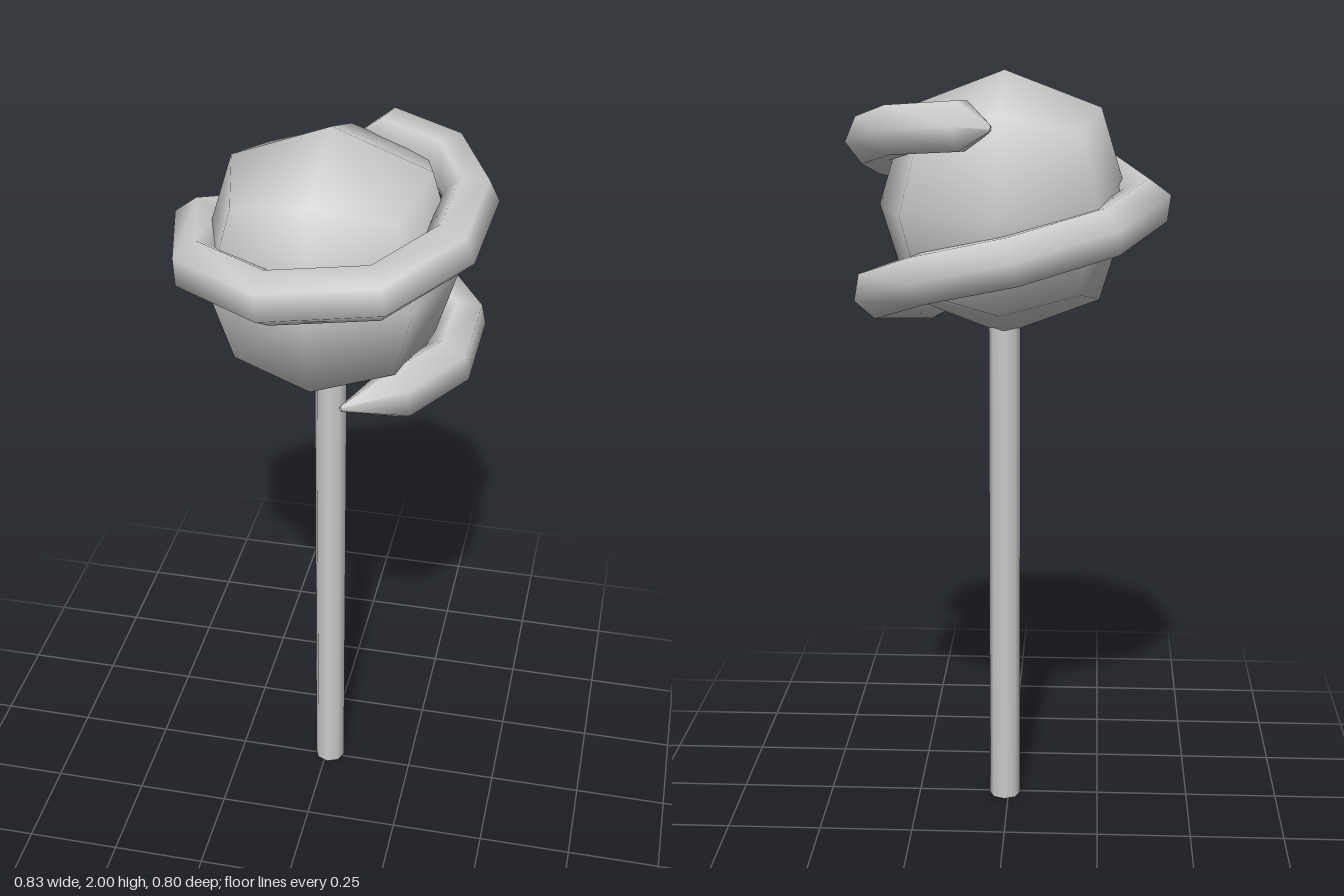
import * as THREE from 'three';
import { mergeVertices } from 'three/addons/utils/BufferGeometryUtils.js';

// Path that passes straight through each given point, one tube ring per point
class PointPath extends THREE.Curve {
  constructor(points) {
    super();
    this.points = points;
  }
  getPoint(t, target = new THREE.Vector3()) {
    const last = this.points.length - 1;
    const f = THREE.MathUtils.clamp(t, 0, 1) * last;
    const i = Math.min(Math.floor(f), last - 1);
    return target.lerpVectors(this.points[i], this.points[i + 1], f - i);
  }
  getPointAt(t, target) {
    return this.getPoint(t, target);
  }
  getTangentAt(t, target = new THREE.Vector3()) {
    const h = 0.5 / (this.points.length - 1);
    return target.copy(this.getPoint(t + h)).sub(this.getPoint(t - h)).normalize();
  }
}

// Weld all seams and shade smoothly
function smooth(geometry) {
  geometry.deleteAttribute('uv');
  geometry.deleteAttribute('normal');
  const welded = mergeVertices(geometry, 1e-4);
  welded.computeVertexNormals();
  return welded;
}

// Ball: a subdivided cube pushed out to a sphere
function ballGeometry() {
  const geometry = new THREE.BoxGeometry(2, 2, 2, 2, 2, 2);
  const pos = geometry.attributes.position;
  const v = new THREE.Vector3();
  for (let i = 0; i < pos.count; i++) {
    v.fromBufferAttribute(pos, i).round();
    const axes = Math.abs(v.x) + Math.abs(v.y) + Math.abs(v.z);
    const size = axes === 3 ? 0.2 : axes === 2 ? 0.247 : v.y !== 0 ? 0.34 : 0.323;
    v.multiplyScalar(size);
    pos.setXYZ(i, v.x, v.y, v.z);
  }
  return smooth(geometry);
}

// Coil: a low-poly tube winding up around the ball, pointed at both ends
function coilGeometry() {
  const points = [
    [0.09, 1.385, 0.255], [0.21, 1.395, 0.17], [0.315, 1.42, 0.04], [0.325, 1.45, -0.13],
    [0.195, 1.51, -0.265], [-0.025, 1.565, -0.335], [-0.245, 1.62, -0.245], [-0.35, 1.67, -0.09],
    [-0.275, 1.695, 0.185], [-0.07, 1.715, 0.335], [0.18, 1.735, 0.295], [0.325, 1.785, 0.14],
    [0.345, 1.83, -0.05], [0.265, 1.865, -0.19], [0.1, 1.88, -0.265], [0.03, 1.875, -0.275],
  ].map((p) => new THREE.Vector3(...p));
  const sides = 6;
  const rings = points.length;
  const geometry = new THREE.TubeGeometry(new PointPath(points), rings - 1, 0.07, sides, false);
  const pos = geometry.attributes.position;
  const v = new THREE.Vector3();
  for (const ring of [0, rings - 1]) {
    for (let j = 0; j <= sides; j++) {
      const i = ring * (sides + 1) + j;
      v.fromBufferAttribute(pos, i).lerp(points[ring], 0.9);
      pos.setXYZ(i, v.x, v.y, v.z);
    }
  }
  return smooth(geometry);
}

export function createModel() {
  const group = new THREE.Group();
  group.name = 'lollipop';
  const grey = new THREE.MeshStandardMaterial({ color: 0xcccccc, side: THREE.DoubleSide });
  grey.name = 'light grey';

  const add = (name, geometry, x, y, z) => {
    const mesh = new THREE.Mesh(geometry, grey);
    mesh.name = name;
    mesh.position.set(x, y, z);
    group.add(mesh);
  };

  add('stick', new THREE.CylinderGeometry(0.042, 0.042, 1.38, 8), 0.01, 0.69, -0.01);
  add('ball', ballGeometry(), 0.01, 1.66, -0.01);
  add('coil', coilGeometry(), 0, 0, 0);
  return group;
}
